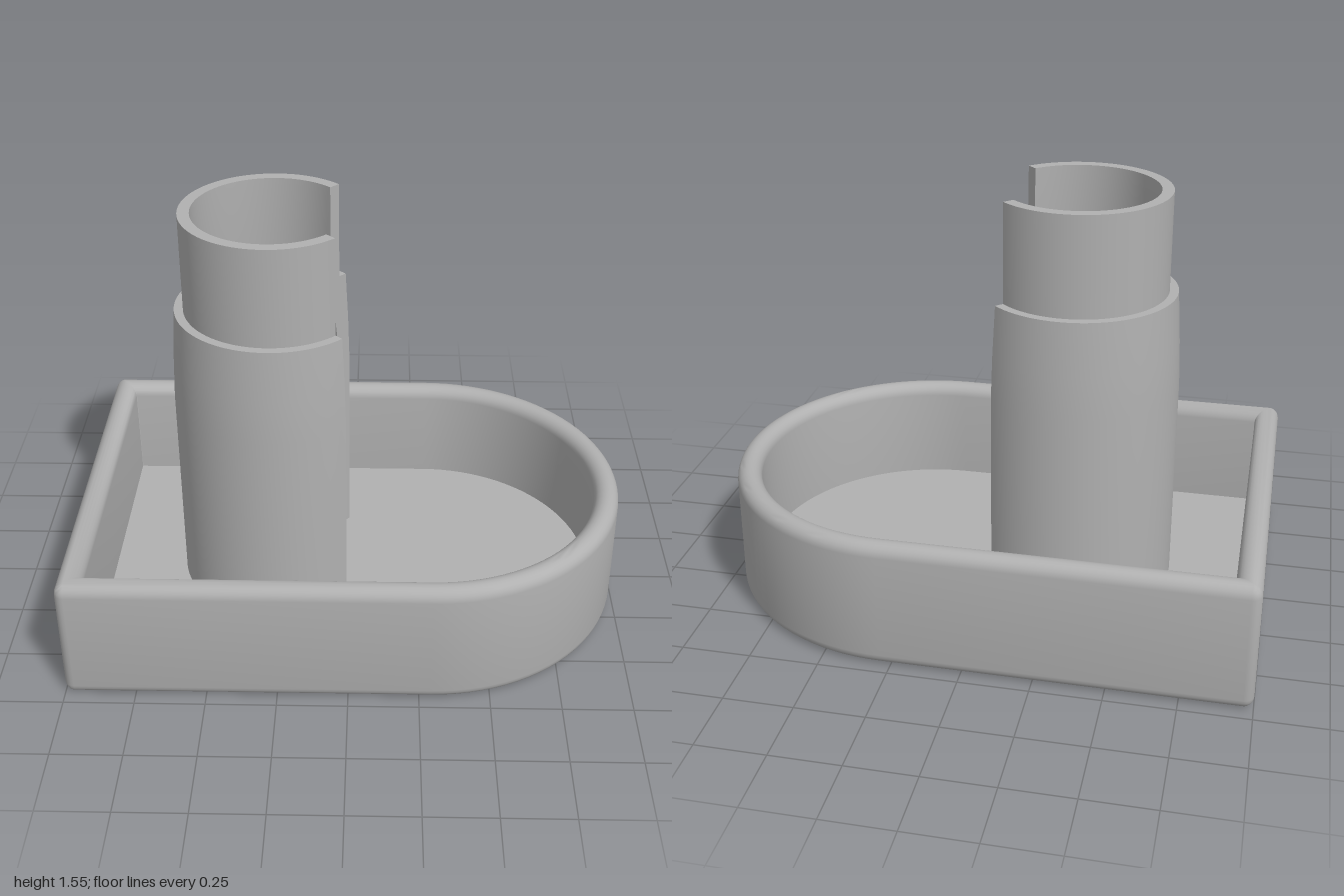
import * as THREE from 'three';
import { toCreasedNormals } from 'three/addons/utils/BufferGeometryUtils.js';

const grey = new THREE.MeshStandardMaterial({ color: 0xb0b0b0, side: THREE.DoubleSide });
grey.name = 'plain grey';

const HALF = 0.71, BEND_X = 0.29, FLOOR = 0.08, WALL = 0.09, HEIGHT = 0.475;
const TUBE_X = -0.275, BORE = 0.318, RAMP_TOP = 0.84;

// D-shaped outline moved inwards by d, as [x, z] points
function outline(d) {
  const pts = [];
  const arc = (cx, cz, r, from, to, n) => {
    for (let i = 0; i <= n; i++) {
      const a = from + (to - from) * i / n;
      pts.push([cx + r * Math.cos(a), cz + r * Math.sin(a)]);
    }
  };
  const r = Math.max(0.035 - d, 0.002), x = -1 + d + r, z = HALF - d - r;
  arc(BEND_X, 0, HALF - d, -Math.PI / 2, Math.PI / 2, 48);
  arc(x, z, r, Math.PI / 2, Math.PI, 5);
  arc(x, -z, r, Math.PI, Math.PI * 1.5, 5);
  return pts;
}

// Wall section [inset, y] from the underside, over the round rim, down to the floor
function wallSection() {
  const s = [], foot = 0.04, rim = WALL / 2;
  for (let i = 0; i <= 5; i++) {
    const a = Math.PI / 2 * i / 5;
    s.push([foot * (1 - Math.sin(a)), foot * (1 - Math.cos(a))]);
  }
  for (let i = 0; i <= 12; i++) {
    const a = Math.PI * i / 12;
    s.push([rim * (1 - Math.cos(a)), HEIGHT - rim + rim * Math.sin(a)]);
  }
  s.push([WALL, FLOOR]);
  return s;
}

function wallGeometry() {
  const rings = wallSection().map(([d, y]) => outline(d).map(([x, z]) => [x, y, z]));
  const n = rings[0].length, index = [];
  for (let j = 0; j < rings.length - 1; j++) {
    for (let i = 0; i < n; i++) {
      const a = j * n + i, b = j * n + (i + 1) % n;
      index.push(a, a + n, b, b, a + n, b + n);
    }
  }
  const g = new THREE.BufferGeometry();
  g.setAttribute('position', new THREE.Float32BufferAttribute(rings.flat(2), 3));
  g.setIndex(index);
  return toCreasedNormals(g, 0.6);
}

// Flat D-shaped sheet facing up or down
function sheet(d, y, up) {
  const shape = new THREE.Shape(outline(d).map(([x, z]) => new THREE.Vector2(x, z)));
  const g = new THREE.ShapeGeometry(shape);
  g.rotateX(up ? -Math.PI / 2 : Math.PI / 2);
  return g.translate(0, y, 0);
}

// Curved chute from the back of the bore down to the floor at the slot
function rampGeometry() {
  const g = new THREE.PlaneGeometry(1, 1, 32, 20), p = g.attributes.position;
  const endX = -0.12;
  for (let i = 0; i < p.count; i++) {
    const a = p.getX(i) * Math.PI * 0.98, t = (0.5 - p.getY(i)) * Math.PI / 2;
    const startX = TUBE_X - BORE * Math.cos(a);
    p.setXYZ(i,
      endX - (endX - startX) * Math.cos(t),
      RAMP_TOP - (RAMP_TOP - FLOOR - 0.003) * Math.sin(t),
      -BORE * Math.sin(a));
  }
  g.computeVertexNormals();
  return g;
}

export function createModel() {
  const model = new THREE.Group();
  const add = (parent, name, geometry) => {
    const m = new THREE.Mesh(geometry, grey);
    m.name = name;
    parent.add(m);
    return m;
  };

  // Tray
  const tray = new THREE.Group();
  tray.name = 'tray';
  add(tray, 'trayWall', wallGeometry());
  add(tray, 'trayFloor', sheet(WALL, FLOOR, true));
  add(tray, 'trayUnderside', sheet(0.04, 0, false));

  // Slotted tube, open for a quarter turn towards +x
  const tube = new THREE.Group();
  tube.name = 'slottedTube';
  tube.position.x = TUBE_X;
  const section = [
    [0.368, 0.003], [0.368, 0.84], [0.362, 1.0], [0.35, 1.19], [0.318, 1.19], [0.318, 1.55],
    [0.276, 1.55], [0.276, 1.19], [BORE, RAMP_TOP], [BORE, 0.003],
  ].map(([r, y]) => new THREE.Vector2(r, y));
  add(tube, 'tubeWall', toCreasedNormals(
    new THREE.LatheGeometry(section, 72, Math.PI * 0.75, Math.PI * 1.5), 0.5));
  for (const side of [-1, 1]) {
    const edge = add(tube, side > 0 ? 'slotEdgeRight' : 'slotEdgeLeft',
      new THREE.ShapeGeometry(new THREE.Shape(section)));
    edge.rotation.y = side * Math.PI / 4;
  }

  model.add(tray, tube);
  add(model, 'chute', rampGeometry());
  return model;
}
